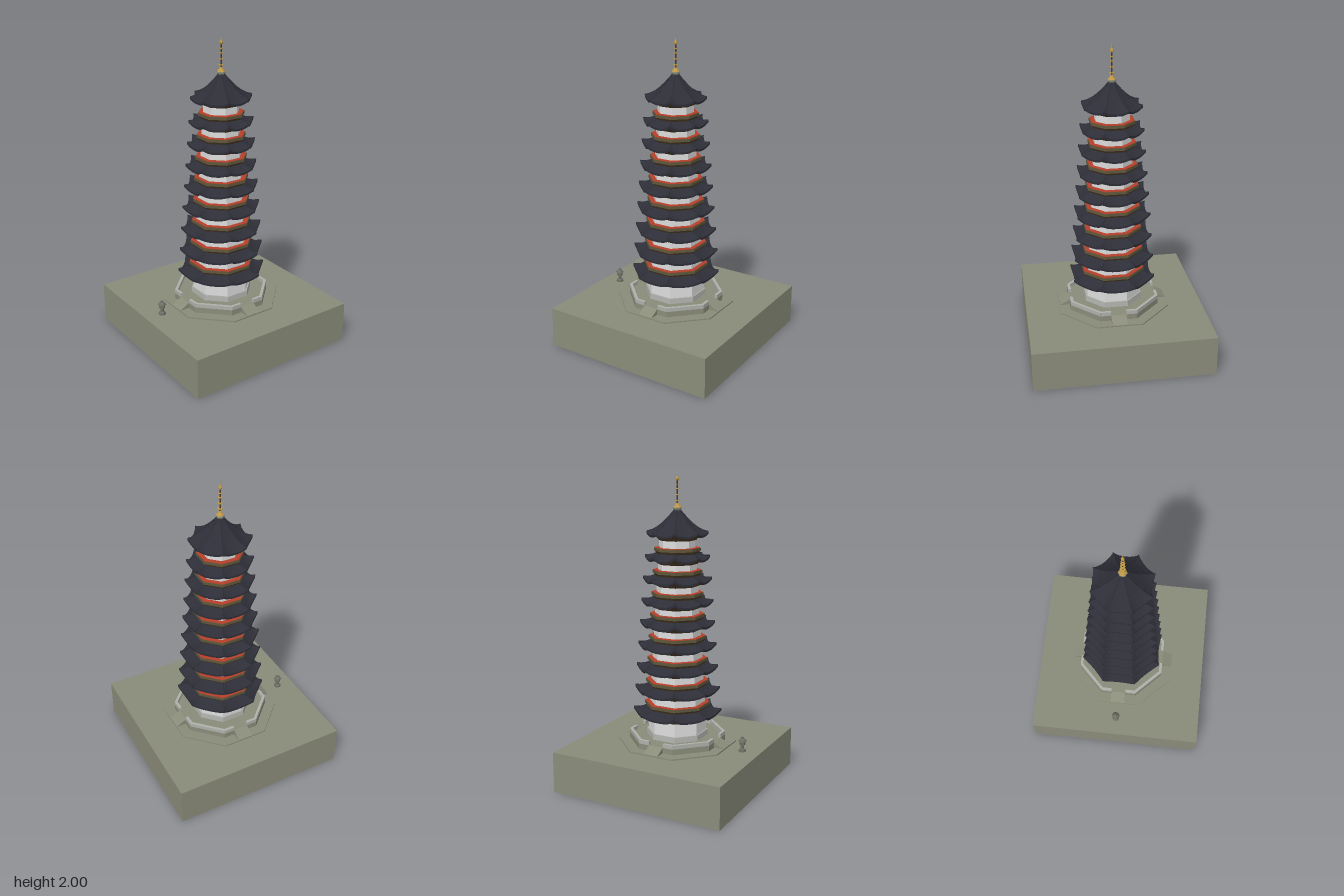
import * as THREE from 'three';

const mat = (name, color) => {
  const m = new THREE.MeshStandardMaterial({ color });
  m.name = name;
  return m;
};
const M = {
  stone: mat('mossy stone', 0x8a8c7a),
  lantern: mat('dark stone', 0x6c6f64),
  parapet: mat('pale grey stone', 0xaeb0aa),
  wall: mat('white plaster', 0xdedede),
  tile: mat('slate roof tile', 0x2e2e38),
  brown: mat('dark timber', 0x4a3a26),
  olive: mat('olive timber', 0x5f573c),
  red: mat('red lacquer', 0xb8402a),
  gold: mat('gold', 0xc09a48),
};
const TAN = Math.tan(Math.PI / 8), COS = Math.cos(Math.PI / 8);

export function createModel() {
  const root = new THREE.Group();
  root.name = 'pagoda';

  // Adds a faceted mesh
  function add(name, geo, material, parent = root) {
    const g = geo.index ? geo.toNonIndexed() : geo;
    g.computeVertexNormals();
    const mesh = new THREE.Mesh(g, material);
    mesh.name = name;
    parent.add(mesh);
    return mesh;
  }
  // Octagonal prism given by its flat-to-centre distances, flats facing the axes
  function octagon(name, aBottom, aTop, y0, y1, material, parent) {
    const g = new THREE.CylinderGeometry(aTop / COS, aBottom / COS, y1 - y0, 8);
    g.rotateY(Math.PI / 8).translate(0, (y0 + y1) / 2, 0);
    return add(name, g, material, parent);
  }
  function turned(name, pts, sides, material, parent) {
    const v = pts.map(([r, y]) => new THREE.Vector2(r, y));
    return add(name, new THREE.LatheGeometry(v, sides), material, parent);
  }

  // Point on one roof side: w runs -1..1 from corner to corner, corners flare out and up
  function roofPoint([a, y, lift, flare], side, w) {
    const s = a * (1 + flare * w * w), t = side * Math.PI / 4, x = s * TAN * w;
    return new THREE.Vector3(
      s * Math.sin(t) + x * Math.cos(t),
      y + lift * Math.abs(w) ** 2.5,
      s * Math.cos(t) - x * Math.sin(t));
  }
  // Skin through octagonal rings [distance, height, corner lift, corner flare]
  function roofSkin(rings) {
    const pts = [], N = 6;
    for (let k = 0; k < rings.length - 1; k++)
      for (let side = 0; side < 8; side++)
        for (let j = 0; j < N; j++) {
          const w0 = -1 + 2 * j / N, w1 = -1 + 2 * (j + 1) / N;
          const A = roofPoint(rings[k], side, w0), B = roofPoint(rings[k], side, w1);
          const C = roofPoint(rings[k + 1], side, w1), D = roofPoint(rings[k + 1], side, w0);
          pts.push(A, B, C, A, C, D);
        }
    return new THREE.BufferGeometry().setFromPoints(pts);
  }
  // Tiled roof with timber underside and corner ridges
  function roof(parent, slope, inner) {
    const [a, y, lift, flare] = slope[0];
    const edge = [a, y - 0.013, lift, flare];
    add('roofTiles', roofSkin([edge, ...slope]), M.tile, parent);
    add('eaveUnderside', roofSkin([[inner, y - 0.008, 0, 0], edge]), M.brown, parent);
    for (let side = 0; side < 8; side++) {
      const path = new THREE.CatmullRomCurve3(slope.map(r => roofPoint(r, side, 1)));
      add('cornerRidge', new THREE.TubeGeometry(path, 6, 0.004, 4), M.tile, parent);
    }
  }

  // Square base and octagonal terrace
  add('base', new THREE.BoxGeometry(1.16, 0.265, 1.16).translate(0, 0.1325, 0), M.stone);
  octagon('lowerTerrace', 0.357, 0.357, 0.26, 0.274, M.stone);
  octagon('upperTerrace', 0.29, 0.29, 0.27, 0.31, M.stone);
  octagon('wallFooting', 0.187, 0.183, 0.305, 0.345, M.parapet);

  // Parapets, open in the middle of the four axial sides where the ramps arrive
  const rampShape = new THREE.Shape([[0.28, 0.27], [0.355, 0.27], [0.355, 0.275], [0.29, 0.311], [0.28, 0.311]]
    .map(p => new THREE.Vector2(...p)));
  for (let k = 0; k < 8; k++) {
    const sideGroup = new THREE.Group();
    sideGroup.name = 'terraceSide';
    sideGroup.rotation.y = k * Math.PI / 4;
    root.add(sideGroup);
    const block = (x, len) => add('parapet',
      new THREE.BoxGeometry(len, 0.03, 0.018).translate(x, 0.32, 0.28), M.parapet, sideGroup);
    if (k % 2) block(0, 0.236);
    else {
      block(-0.084, 0.068);
      block(0.084, 0.068);
      const ramp = new THREE.ExtrudeGeometry(rampShape, { depth: 0.098, bevelEnabled: false });
      add('ramp', ramp.translate(0, 0, -0.049).rotateY(-Math.PI / 2), M.stone, sideGroup);
    }
  }

  // Nine storeys, each narrower than the one below
  const eaveY = [0.452, 0.6, 0.745, 0.89, 1.032, 1.17, 1.311, 1.45, 1.598];
  for (let i = 0; i < 9; i++) {
    const storey = new THREE.Group();
    storey.name = 'storey' + (i + 1);
    root.add(storey);
    const y = eaveY[i], wall = 0.175 - i * 0.0087, next = wall - 0.0087;
    const tip = 0.265 - i * 0.0107, a = tip / 1.045;
    const floor = i ? eaveY[i - 1] + 0.08 : 0.34;
    octagon('wall', wall, wall, floor, y, M.wall, storey);
    octagon('eaveBracket', wall + 0.003, wall + 0.023, y - 0.02, y + 0.006, M.brown, storey);
    if (i === 8) {
      roof(storey, [
        [a, y + 0.013, 0.02, 0.045], [0.14, y + 0.034, 0.01, 0.03], [0.1, y + 0.07, 0.002, 0.01],
        [0.065, y + 0.108, 0, 0], [0.037, y + 0.14, 0, 0], [0.014, y + 0.17, 0, 0],
      ], wall + 0.02);
    } else {
      const inner = next + 0.012;
      roof(storey, [
        [a, y + 0.011, 0.024, 0.045],
        [a * 0.6 + inner * 0.4, y + 0.023, 0.012, 0.03],
        [a * 0.25 + inner * 0.75, y + 0.038, 0.003, 0.01],
        [inner, y + 0.052, 0, 0],
      ], wall + 0.02);
      // Balcony: flared brackets, edge beam and lacquered floor
      octagon('balconyBracket', next + 0.016, next + 0.028, y + 0.042, y + 0.064, M.brown, storey);
      octagon('balconyBeam', next + 0.031, next + 0.031, y + 0.062, y + 0.08, M.olive, storey);
      octagon('balconyFloor', next + 0.027, next + 0.027, y + 0.079, y + 0.083, M.red, storey);
    }
  }

  // Finial
  const finial = new THREE.Group();
  finial.name = 'finial';
  root.add(finial);
  turned('finialBase', [[0, 1.752], [0.018, 1.755], [0.028, 1.772], [0.026, 1.78], [0, 1.78]], 6, M.stone, finial);
  turned('finialCone', [[0.026, 1.78], [0.012, 1.797], [0.008, 1.806], [0, 1.806]], 6, M.gold, finial);
  turned('spire', [[0.005, 1.8], [0.004, 1.95], [0, 1.95]], 6, M.brown, finial);
  [[1.82, 0.018], [1.857, 0.015], [1.893, 0.014], [1.92, 0.011]].forEach(([y, r]) =>
    turned('spireRing', [[0, y - 0.003], [r, y - 0.002], [r, y + 0.002], [0, y + 0.003]], 6, M.gold, finial));
  turned('spireTip', [[0, 1.938], [0.01, 1.948], [0.011, 1.957], [0.004, 1.969], [0, 2]], 6, M.gold, finial);

  // Small stone lantern on the right side of the base
  const lantern = new THREE.Group();
  lantern.name = 'stoneLantern';
  lantern.position.set(-0.464, 0.265, 0);
  root.add(lantern);
  turned('lanternFoot', [[0.024, 0], [0.022, 0.014], [0.012, 0.02], [0.011, 0.045], [0, 0.045]], 6, M.lantern, lantern);
  turned('lanternHead', [[0, 0.042], [0.02, 0.046], [0.018, 0.068], [0, 0.068]], 6, M.lantern, lantern);
  turned('lanternCap', [[0, 0.066], [0.028, 0.068], [0.022, 0.078], [0.008, 0.088], [0.009, 0.094], [0, 0.1]], 6, M.lantern, lantern);

  return root;
}
